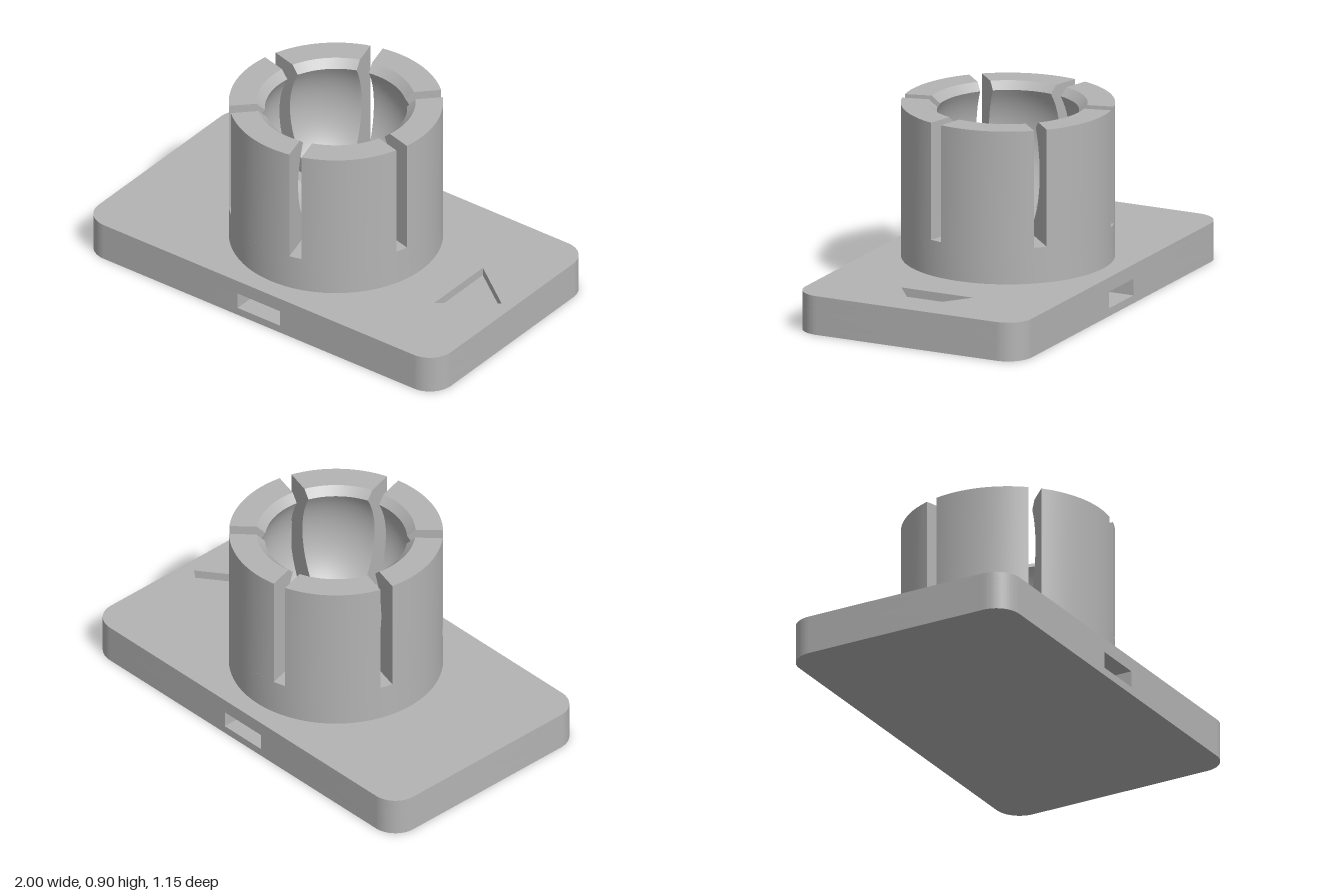
import * as THREE from 'three';
import { toCreasedNormals } from 'three/addons/utils/BufferGeometryUtils.js';

const W = 1, D = 0.576, CORNER = 0.12, PLATE_TOP = 0.182;
const SLOT_X = 0.12, SLOT_LOW = 0.037, SLOT_HIGH = 0.115, POCKET = 0.142;
const R = 0.4845, TOP = 0.9, CUT = 0.35, HALF_GAP = 0.03;
const BALL_R = 0.38, BALL_Y = 0.663, LIP_Y = 0.865;
const CREASE = 0.5;

const ballRadiusAt = (y) => Math.sqrt(Math.max(0, BALL_R ** 2 - (y - BALL_Y) ** 2));

// Plate outline from x = left to the rounded right end; both ends rounded if full
function plateShape(left, full) {
  const s = new THREE.Shape();
  s.moveTo(full ? left + CORNER : left, -D);
  s.lineTo(W - CORNER, -D);
  s.absarc(W - CORNER, -D + CORNER, CORNER, -Math.PI / 2, 0);
  s.lineTo(W, D - CORNER);
  s.absarc(W - CORNER, D - CORNER, CORNER, 0, Math.PI / 2);
  if (full) {
    s.absarc(left + CORNER, D - CORNER, CORNER, Math.PI / 2, Math.PI);
    s.absarc(left + CORNER, -D + CORNER, CORNER, Math.PI, Math.PI * 1.5);
  } else {
    s.lineTo(left, D);
  }
  s.closePath();
  return s;
}

// Upright slab between two heights
function slab(shape, y0, y1) {
  const g = new THREE.ExtrudeGeometry(shape, { depth: y1 - y0, bevelEnabled: false, curveSegments: 14 });
  g.rotateX(-Math.PI / 2).translate(0, y0, 0);
  return toCreasedNormals(g, CREASE);
}

// One gripping finger: the wall profile swept between two parallel-sided gaps
function fingerGeometry(a0, a1) {
  const profile = [[R, CUT], [R, TOP], [0.36, TOP]];
  const ballSteps = 18;
  for (let i = 0; i <= ballSteps; i++) {
    const y = LIP_Y + (CUT - LIP_Y) * i / ballSteps;
    profile.push([ballRadiusAt(y), y]);
  }
  const n = profile.length, steps = 16, pos = [], index = [];
  for (let j = 0; j <= steps; j++) {
    for (const [r, y] of profile) {
      const inset = Math.asin(HALF_GAP / r);
      const a = THREE.MathUtils.lerp(a0 + inset, a1 - inset, j / steps);
      pos.push(r * Math.cos(a), y, r * Math.sin(a));
    }
  }
  for (let j = 0; j < steps; j++) {
    for (let i = 0; i < n - 1; i++) {
      const p = j * n + i, q = p + n;
      index.push(p, p + 1, q, p + 1, q + 1, q);
    }
  }
  // Flat walls facing the gaps
  const contour = profile.map(([r, y]) => new THREE.Vector2(r, y));
  for (const [a, b, c] of THREE.ShapeUtils.triangulateShape(contour, [])) {
    const e = steps * n;
    index.push(a, c, b, e + a, e + b, e + c);
  }
  const g = new THREE.BufferGeometry();
  g.setAttribute('position', new THREE.Float32BufferAttribute(pos, 3));
  g.setIndex(index);
  return toCreasedNormals(g, CREASE);
}

export function createModel() {
  const model = new THREE.Group();
  model.name = 'ballSocketMount';
  const grey = new THREE.MeshStandardMaterial({ color: 0xb4b4b4 });
  grey.name = 'grey';

  const add = (parent, name, geometry) => {
    const mesh = new THREE.Mesh(geometry, grey);
    mesh.name = name;
    parent.add(mesh);
    return mesh;
  };

  // Base plate, layered around the through slot and the arrow pocket
  const base = new THREE.Group();
  base.name = 'basePlate';
  model.add(base);
  add(base, 'plateBottom', slab(plateShape(-W, true), 0, SLOT_LOW));
  const side = slab(plateShape(SLOT_X, false), SLOT_LOW, SLOT_HIGH);
  add(base, 'slotSideLeft', side);
  add(base, 'slotSideRight', side).rotation.y = Math.PI;
  add(base, 'plateMiddle', slab(plateShape(-W, true), SLOT_HIGH, POCKET));
  const topShape = plateShape(-W, true);
  const arrow = new THREE.Path();
  arrow.moveTo(0.695, 0.182);
  arrow.lineTo(0.94, 0);
  arrow.lineTo(0.695, -0.182);
  arrow.closePath();
  topShape.holes.push(arrow);
  add(base, 'plateTopWithArrowPocket', slab(topShape, POCKET, PLATE_TOP));

  // Socket
  const socket = new THREE.Group();
  socket.name = 'socket';
  model.add(socket);

  // Solid collar with the bottom of the spherical bowl
  const collar = [new THREE.Vector2(R, PLATE_TOP), new THREE.Vector2(R, CUT)];
  const end = Math.acos((BALL_Y - CUT) / BALL_R);
  for (let i = 0; i <= 10; i++) {
    const t = end * (1 - i / 10);
    collar.push(new THREE.Vector2(BALL_R * Math.sin(t), BALL_Y - BALL_R * Math.cos(t)));
  }
  add(socket, 'socketCollar', toCreasedNormals(new THREE.LatheGeometry(collar, 96), CREASE));

  // Six fingers separated by gaps
  const pitch = Math.PI / 3;
  for (let k = 0; k < 6; k++) {
    const a = Math.PI / 12 + k * pitch;
    add(socket, 'socketFinger' + (k + 1), fingerGeometry(a, a + pitch));
  }
  return model;
}
